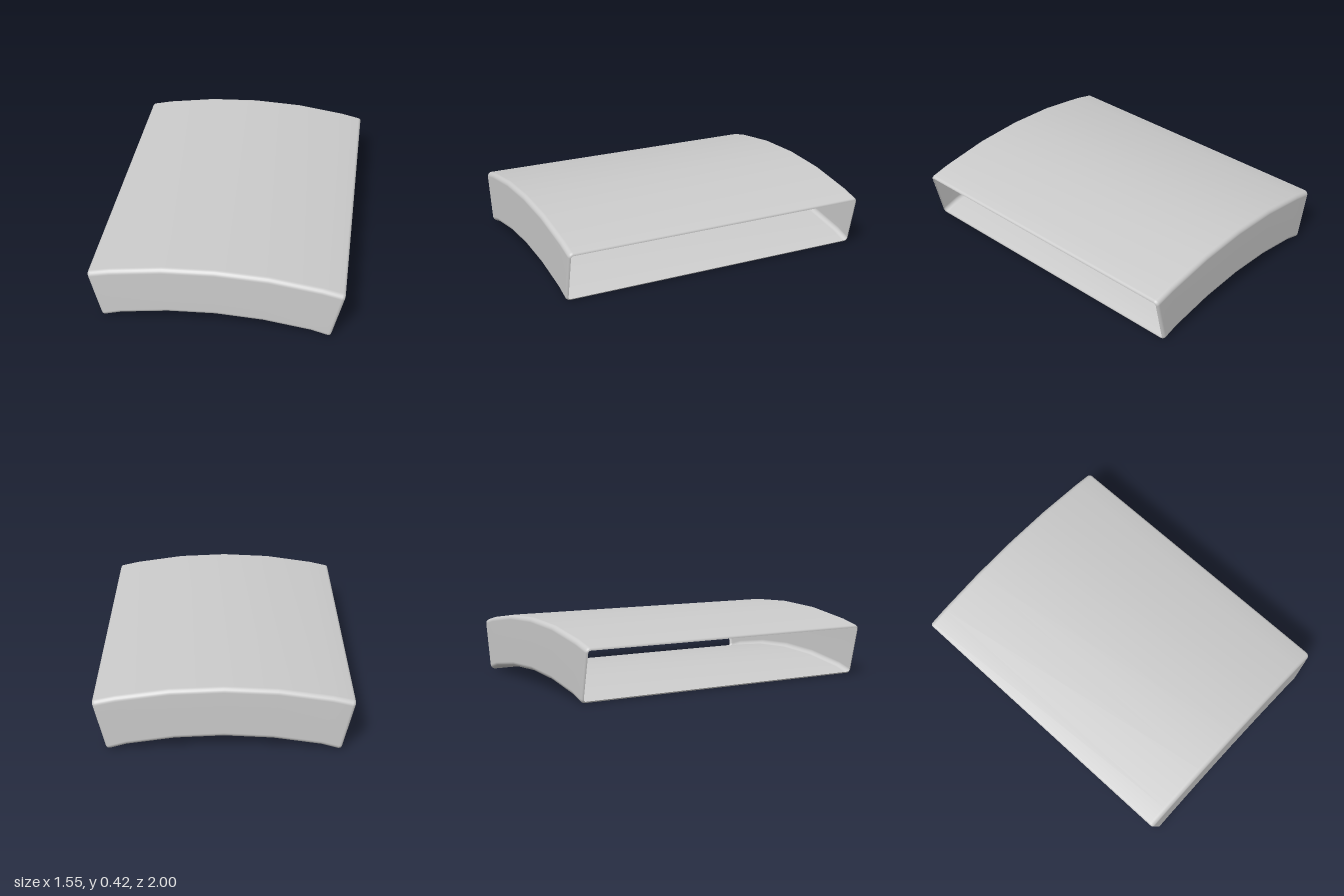
import * as THREE from 'three';

const RADIUS = 0.03;      // rounding of the long edges
const CORNER_STEPS = 5;
const LIP_STEPS = 4;
const LIP_OUT = 0.02;     // how far the rim rolls outwards
const LIP_IN = 0.015;     // how far the rim rolls inwards

// Cross-section loop: a rounded rectangle standing on the line from bottom to top.
function sectionLoop({ bottom, top, out = 0, inset = 0 }) {
  const up = top.clone().sub(bottom);
  const height = up.length();
  up.normalize();
  const outward = new THREE.Vector2(up.y, -up.x).multiplyScalar(out);
  const r = RADIUS - inset;
  const points = [];
  const corners = [[1, 1], [-1, 1], [-1, -1], [1, -1]]; // z side, y side
  corners.forEach(([sz, sy], c) => {
    for (let i = 0; i <= CORNER_STEPS; i++) {
      const a = (c + i / CORNER_STEPS) * Math.PI / 2;
      const z = sz * (1 - RADIUS) + r * Math.cos(a);
      const h = height / 2 + sy * (height / 2 - RADIUS) + r * Math.sin(a);
      const p = bottom.clone().addScaledVector(up, h).add(outward);
      points.push([p.x, p.y, z]);
    }
  });
  return points;
}

// Skin of a tube running through a list of equal closed loops.
function skinLoops(loops) {
  const n = loops[0].length;
  const index = [];
  for (let i = 0; i < loops.length - 1; i++) {
    for (let j = 0; j < n; j++) {
      const k = (j + 1) % n;
      const a = i * n + j, b = i * n + k, c = a + n, d = b + n;
      index.push(a, c, b, b, c, d);
    }
  }
  const geometry = new THREE.BufferGeometry();
  geometry.setAttribute('position', new THREE.Float32BufferAttribute(loops.flat(2), 3));
  geometry.setIndex(index);
  geometry.computeVertexNormals();
  return geometry;
}

export function createModel() {
  const group = new THREE.Group();
  group.name = 'curvedSleeve';
  const v = (x, y) => new THREE.Vector2(x, y);

  // Stations of the arch from the middle to one open side
  const half = [
    { bottom: v(0, 0.088), top: v(0, 0.422) },
    { bottom: v(0.29, 0.073), top: v(0.32, 0.407) },
    { bottom: v(0.58, 0.029), top: v(0.64, 0.36) },
    { bottom: v(0.68, 0), top: v(0.757, 0.333) },
  ];
  // Rolled rim around the opening
  const end = half[half.length - 1];
  for (let i = 1; i <= LIP_STEPS; i++) {
    const a = (i / LIP_STEPS) * Math.PI / 2;
    half.push({ ...end, out: LIP_OUT * Math.sin(a), inset: LIP_IN * (1 - Math.cos(a)) });
  }

  // Mirror the half arch to get the whole sleeve
  const right = half.map(sectionLoop);
  const left = right.slice(1).reverse()
    .map((loop) => loop.map(([x, y, z]) => [-x, y, z]));

  const material = new THREE.MeshStandardMaterial({ color: 0xcccccc, side: THREE.DoubleSide });
  const shell = new THREE.Mesh(skinLoops([...left, ...right]), material);
  shell.name = 'archedShell';
  group.add(shell);
  return group;
}
